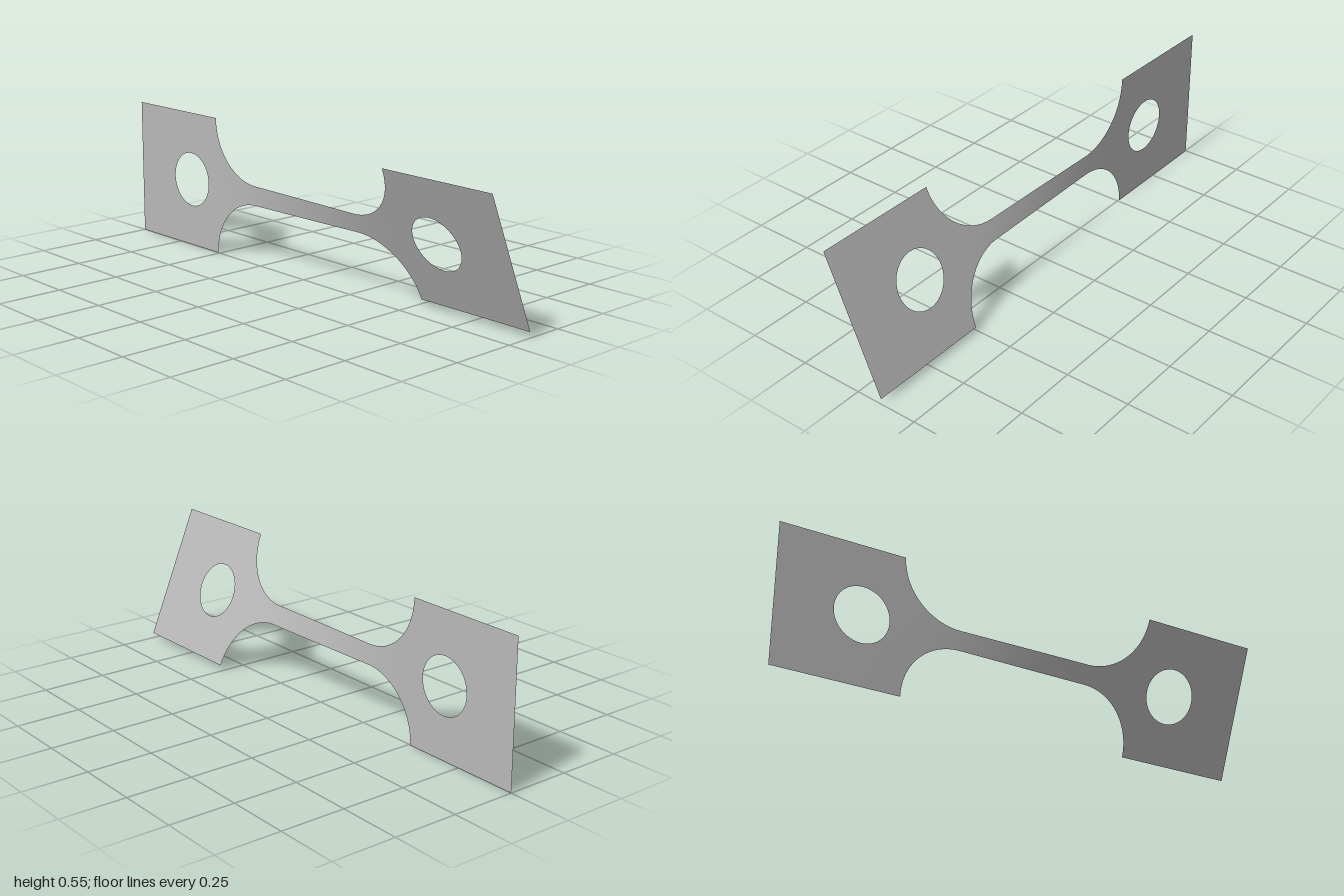
import * as THREE from 'three';

const HEAD = 0.2725;      // half height of the heads, also the axis height
const NECK = 0.039;       // half height of the narrow bar
const R = HEAD - NECK;    // fillet radius
const X0 = 0.508;         // inner edge of the heads
const HOLE_X = 0.67, HOLE_R = 0.108;
const TWIST = THREE.MathUtils.degToRad(22.8);

// Half height of the sheet at x
function halfHeight(x) {
  const a = Math.abs(x);
  if (a >= X0) return HEAD;
  const d = a - (X0 - R);
  return d <= 0 ? NECK : HEAD - Math.sqrt(Math.max(0, R * R - d * d));
}

// Twist builds up mostly where the sheet is narrow
const STEPS = 800;
const sums = [0];
for (let i = 0; i < STEPS; i++) {
  const x = -1 + (2 * (i + 0.5)) / STEPS;
  sums.push(sums[i] + Math.pow(halfHeight(x), -1.75));
}
function twistAt(x) {
  const f = THREE.MathUtils.clamp((x + 1) / 2, 0, 1) * STEPS;
  const i = Math.min(STEPS - 1, Math.floor(f));
  return (TWIST * THREE.MathUtils.lerp(sums[i], sums[i + 1], f - i)) / sums[STEPS];
}

// Grid surface from a flat point function (i, j) -> [x, v], then twisted about x
function twistedSheet(nu, nv, point) {
  const pos = [], index = [];
  for (let i = 0; i <= nu; i++) {
    for (let j = 0; j <= nv; j++) {
      const [x, v] = point(i, j);
      const a = twistAt(x);
      pos.push(x, HEAD + v * Math.cos(a), v * Math.sin(a));
      if (i < nu && j < nv) {
        const p = i * (nv + 1) + j, q = p + nv + 1;
        index.push(p, q, q + 1, p, q + 1, p + 1);
      }
    }
  }
  const g = new THREE.BufferGeometry();
  g.setAttribute('position', new THREE.Float32BufferAttribute(pos, 3));
  g.setIndex(index);
  g.computeVertexNormals();
  return g;
}

// Rectangular head with a round hole: rays from the hole rim to the border
function headGeometry(side) {
  const xa = side < 0 ? -1 : X0, xb = side < 0 ? -X0 : 1;
  const corners = [[xb, -HEAD], [xb, HEAD], [xa, HEAD], [xa, -HEAD]];
  const n = 24, rings = 10, cx = side * HOLE_X;
  return twistedSheet(rings, n * 4, (i, j) => {
    const s = Math.floor(j / n) % 4, t = (j % n) / n;
    const a = corners[s], b = corners[(s + 1) % 4];
    const ox = THREE.MathUtils.lerp(a[0], b[0], t);
    const oy = THREE.MathUtils.lerp(a[1], b[1], t);
    const ang = Math.atan2(oy, ox - cx), k = i / rings;
    return [
      THREE.MathUtils.lerp(cx + HOLE_R * Math.cos(ang), ox, k),
      THREE.MathUtils.lerp(HOLE_R * Math.sin(ang), oy, k),
    ];
  });
}

// Bar with a fillet at each end, sampled evenly along the arcs
function barGeometry() {
  const xs = [], arc = 28, mid = 40, xe = X0 - R;
  for (let i = 0; i < arc; i++) xs.push(-xe - R * Math.cos((i / arc) * Math.PI / 2));
  for (let i = 0; i <= mid; i++) xs.push(-xe + (2 * xe * i) / mid);
  for (let i = 1; i <= arc; i++) xs.push(xe + R * Math.sin((i / arc) * Math.PI / 2));
  const rows = 12;
  return twistedSheet(xs.length - 1, rows, (i, j) =>
    [xs[i], halfHeight(xs[i]) * ((2 * j) / rows - 1)]);
}

export function createModel() {
  const group = new THREE.Group();
  group.name = 'twistedTestStrip';
  const metal = new THREE.MeshStandardMaterial({ color: 0xb8b8b8, side: THREE.DoubleSide });
  metal.name = 'plain grey metal';

  const add = (name, geometry) => {
    const mesh = new THREE.Mesh(geometry, metal);
    mesh.name = name;
    group.add(mesh);
  };
  add('rightHead', headGeometry(-1));
  add('leftHead', headGeometry(1));
  add('filletedBar', barGeometry());
  return group;
}
